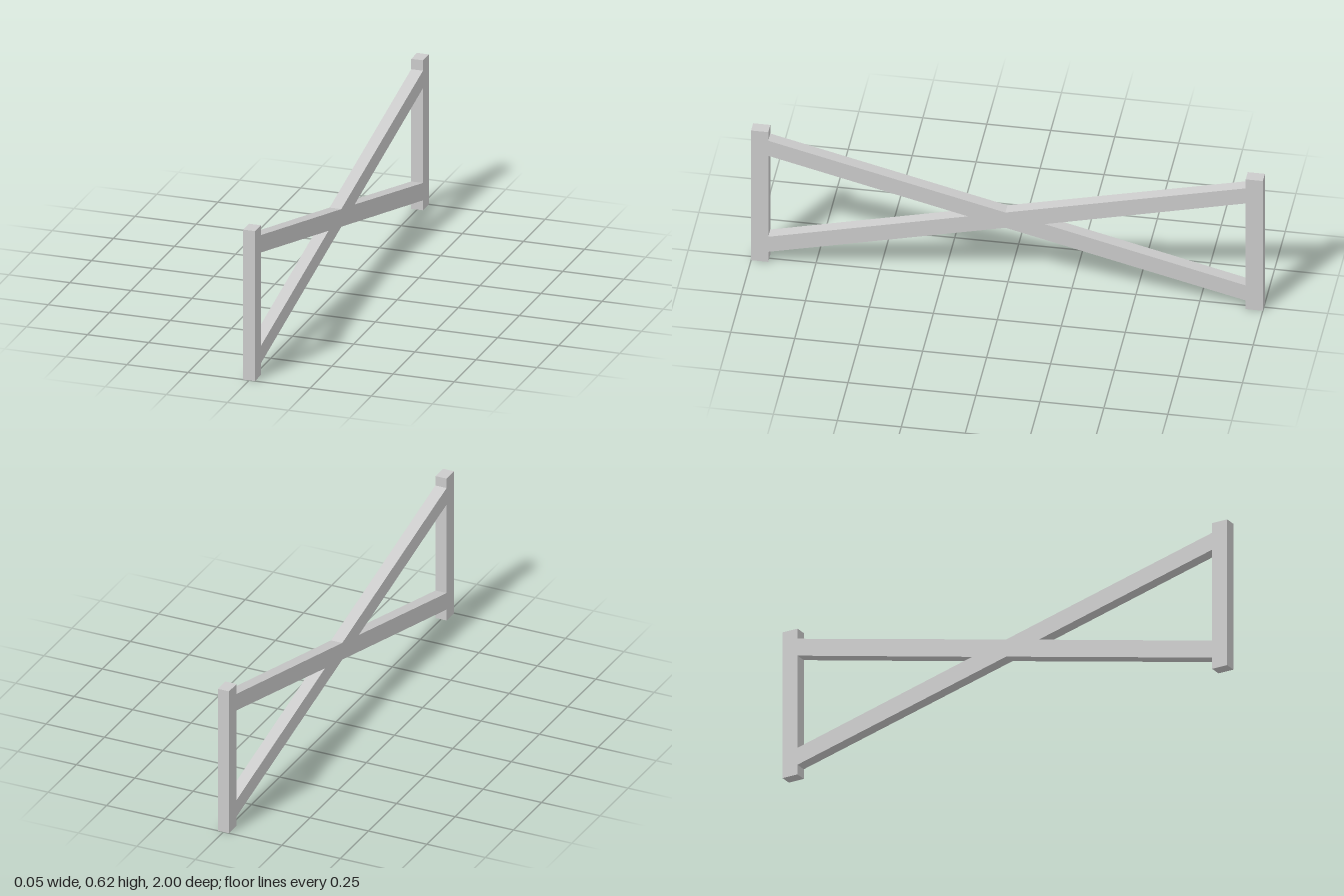
import * as THREE from 'three';

const WIDTH = 0.048;      // thickness along x
const HEIGHT = 0.62;
const POST = 0.067;       // post depth along z
const INNER = 1 - POST;   // z of the posts' inner faces

export function createModel() {
  const group = new THREE.Group();
  const material = new THREE.MeshStandardMaterial({ color: 0xcccccc, flatShading: true });

  // Upright posts at both ends
  for (const [name, side] of [['frontPost', 1], ['backPost', -1]]) {
    const post = new THREE.Mesh(new THREE.BoxGeometry(WIDTH, HEIGHT, POST), material);
    post.name = name;
    post.position.set(0, HEIGHT / 2, side * (1 - POST / 2));
    group.add(post);
  }

  // Crossed braces as one X outline, drawn in (z, y)
  const outline = [
    [INNER, 0.507], [INNER, 0.579], [0.006, 0.348], [-INNER, 0.577],
    [-INNER, 0.505], [-0.147, 0.311], [-INNER, 0.113], [-INNER, 0.041],
    [0.006, 0.275], [INNER, 0.048], [INNER, 0.12], [0.153, 0.312],
  ];
  const shape = new THREE.Shape(outline.map(([z, y]) => new THREE.Vector2(z, y)));
  const geometry = new THREE.ExtrudeGeometry(shape, { depth: WIDTH, bevelEnabled: false });
  geometry.translate(0, 0, -WIDTH / 2).rotateY(-Math.PI / 2);
  const braces = new THREE.Mesh(geometry, material);
  braces.name = 'crossBraces';
  group.add(braces);

  return group;
}
